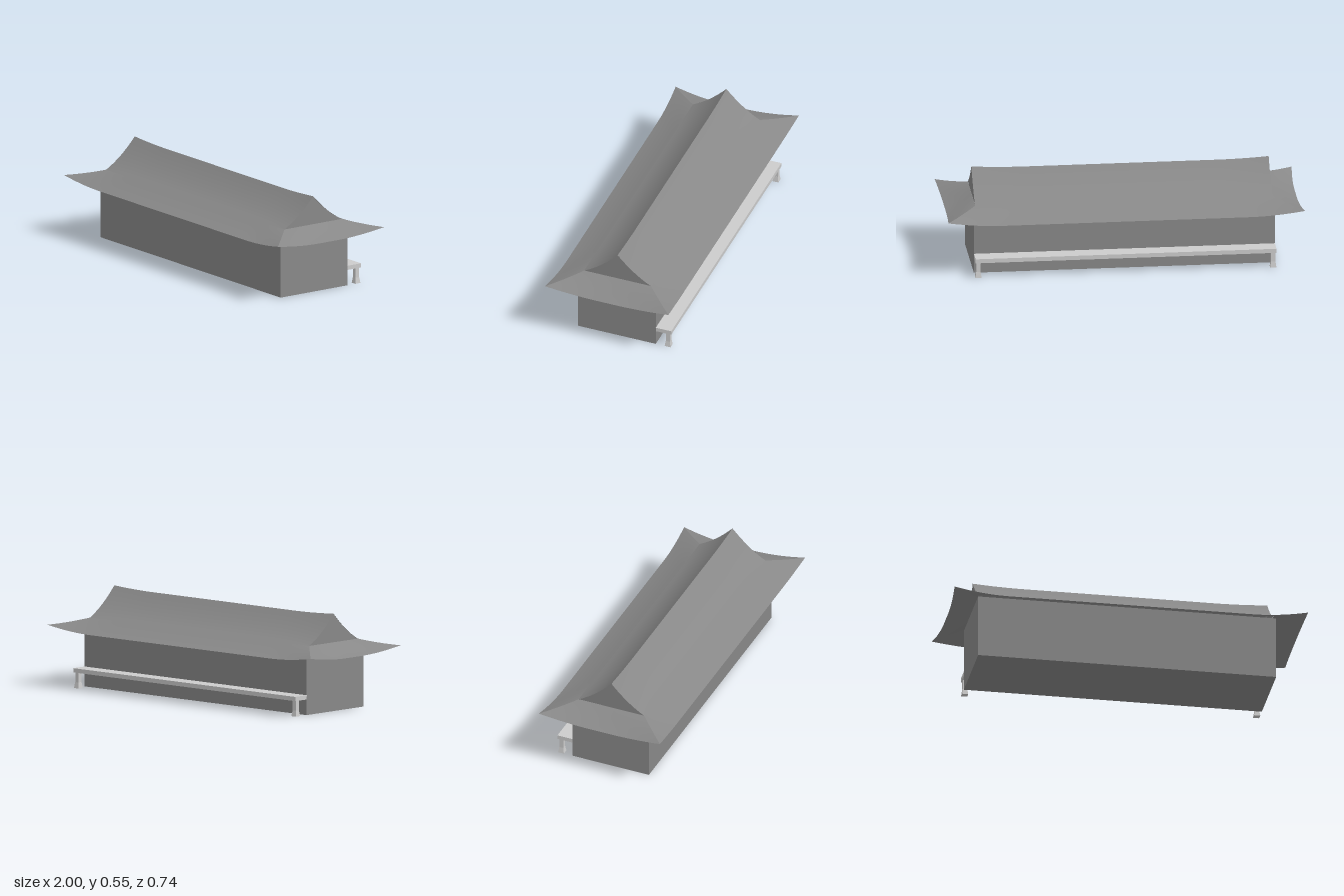
import * as THREE from 'three';

const GABLE_X = 0.833, EAVE_X = 0.985, GABLE_Z = 0.2, EAVE_Z = 0.357;

// Rises from 0 to 1 over the last `range` before an end
const flare = (d, range = 0.3) => Math.max(0, 1 - d / range) ** 2;

// Concave roof section heights
const upperY = s => 0.535 - 0.21 * s + 0.06 * s * s;
const lowerY = s => 0.385 - 0.084 * s + 0.015 * s * s;

// Smooth sheet from a rule point(u, s), u in -1..1 along, s in 0..1 down the slope
function sheet(name, point, material, nu = 48, ns = 10) {
  const pos = [], index = [];
  for (let j = 0; j <= ns; j++) {
    for (let i = 0; i <= nu; i++) {
      const u = Math.sin((i / nu - 0.5) * Math.PI); // denser near the ends
      pos.push(...point(u, j / ns));
      if (i < nu && j < ns) {
        const a = j * (nu + 1) + i, b = a + nu + 1;
        index.push(a, b, a + 1, b, b + 1, a + 1);
      }
    }
  }
  const g = new THREE.BufferGeometry();
  g.setAttribute('position', new THREE.Float32BufferAttribute(pos, 3));
  g.setIndex(index);
  g.computeVertexNormals();
  const mesh = new THREE.Mesh(g, material);
  mesh.name = name;
  return mesh;
}

// Upper slope, with the ridge lifting toward both gables
const upperPoint = (u, s) => {
  const x = u * GABLE_X;
  return [x, upperY(s) + 0.011 * flare(GABLE_X - Math.abs(x)) * (1 - s), GABLE_Z * s];
};

// Eave skirt: returns [along, height, outward] with upturned, flared corners
function skirtPoint(u, s, half0, half1, out0, out1, flareAlong, flareOut) {
  const half = half0 + (half1 - half0) * s;
  const f = flare(half * (1 - Math.abs(u))) * s;
  return [
    u * half + Math.sign(u) * flareAlong * f,
    lowerY(s) + 0.03 * f,
    out0 + (out1 - out0) * s + flareOut * f,
  ];
}
const longSkirt = (u, s) => skirtPoint(u, s, GABLE_X, EAVE_X, GABLE_Z, EAVE_Z, 0.015, 0.012);
const endSkirt = (u, s) => skirtPoint(u, s, GABLE_Z, EAVE_Z, GABLE_X, EAVE_X, 0.012, 0.015);

// Gable wall following the curved roof section
function gable(material) {
  const shape = new THREE.Shape();
  const n = 12;
  shape.moveTo(-GABLE_Z, 0.384);
  shape.lineTo(GABLE_Z, 0.384);
  for (let i = n; i >= -n; i--) {
    const [, y, z] = upperPoint(1, Math.abs(i) / n);
    shape.lineTo(Math.sign(i) * z, y);
  }
  const mesh = new THREE.Mesh(new THREE.ShapeGeometry(shape), material);
  mesh.name = 'gable';
  mesh.rotation.y = Math.PI / 2;
  mesh.position.x = GABLE_X - 0.002;
  return mesh;
}

function box(name, w, h, d, x, y, z, material) {
  const mesh = new THREE.Mesh(new THREE.BoxGeometry(w, h, d), material);
  mesh.name = name;
  mesh.position.set(x, y + h / 2, z);
  return mesh;
}

export function createModel() {
  const group = new THREE.Group();
  group.name = 'hall';
  const dark = new THREE.MeshStandardMaterial({ color: 0x888888 });
  const roofMat = new THREE.MeshStandardMaterial({ color: 0x888888, side: THREE.DoubleSide });
  const light = new THREE.MeshStandardMaterial({ color: 0xcccccc });

  // Hall body
  group.add(box('walls', 1.686, 0.36, 0.465, 0, 0, 0, dark));

  // Roof: each half is turned about the vertical axis
  const roof = new THREE.Group();
  roof.name = 'roof';
  for (const turn of [0, Math.PI]) {
    const half = new THREE.Group();
    half.name = 'roofHalf';
    half.rotation.y = turn;
    half.add(sheet('upperSlope', upperPoint, roofMat));
    half.add(sheet('longEave', longSkirt, roofMat));
    const end = sheet('endEave', endSkirt, roofMat, 32);
    end.rotation.y = Math.PI / 2;
    half.add(end, gable(roofMat));
    roof.add(half);
  }
  group.add(roof);

  // Rear veranda on two posts
  const veranda = new THREE.Group();
  veranda.name = 'veranda';
  veranda.add(box('deck', 1.686, 0.024, 0.094, 0, 0.088, -0.278, light));
  for (const side of [-1, 1]) {
    const x = side * 0.826, z = -0.303;
    veranda.add(box('post', 0.024, 0.058, 0.024, x, 0.032, z, light));
    const foot = new THREE.CylinderGeometry(0.0125 * Math.SQRT2, 0.0175 * Math.SQRT2, 0.033, 4)
      .rotateY(Math.PI / 4).toNonIndexed();
    foot.computeVertexNormals();
    const mesh = new THREE.Mesh(foot, light);
    mesh.name = 'postFoot';
    mesh.position.set(x, 0.0165, z);
    veranda.add(mesh);
  }
  group.add(veranda);
  return group;
}
